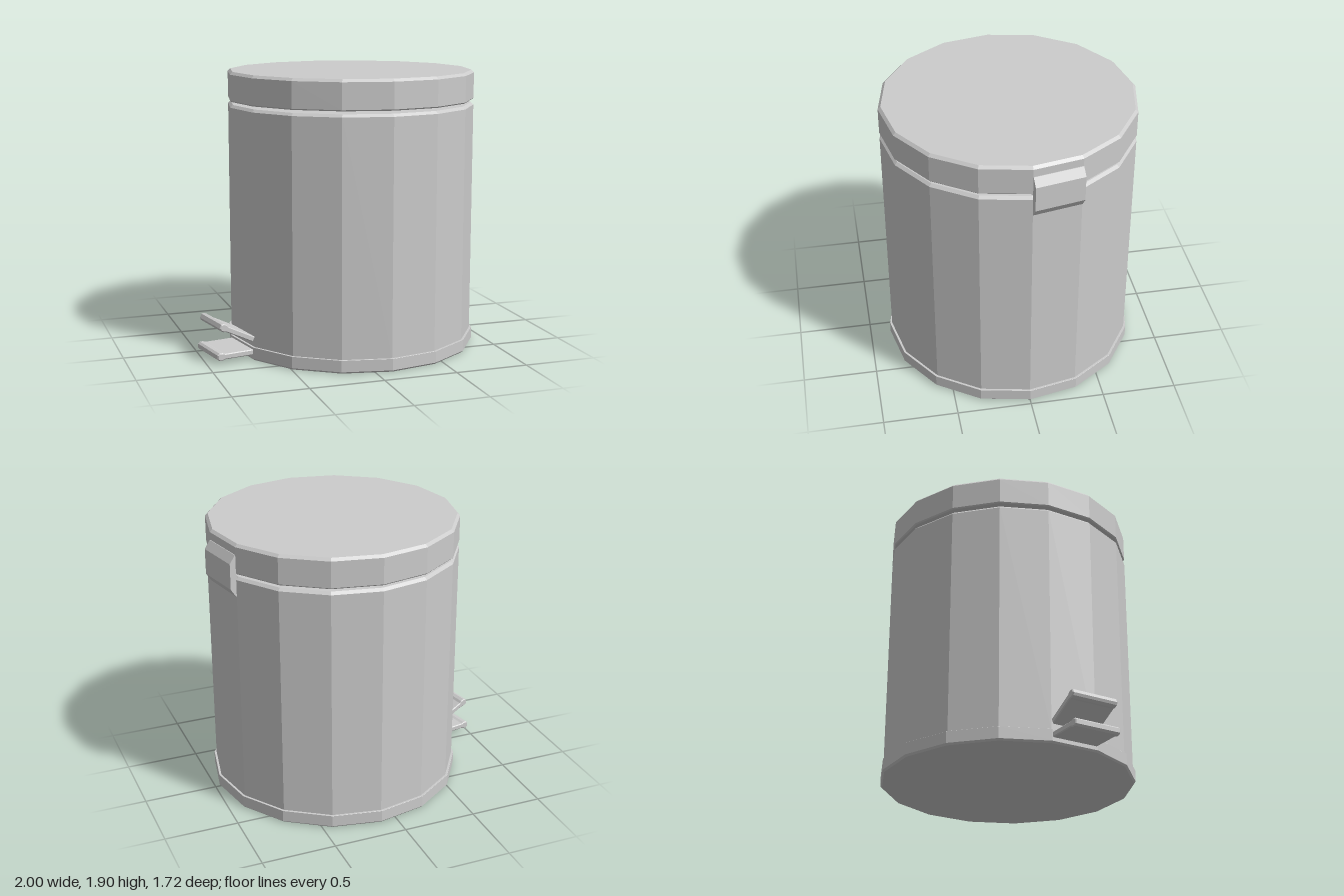
import * as THREE from 'three';

const SIDES = 16;
const RADIUS = 0.845;
const APOTHEM = RADIUS * Math.cos(Math.PI / SIDES);
const SIDE_WIDTH = 2 * RADIUS * Math.sin(Math.PI / SIDES);

const material = new THREE.MeshStandardMaterial({ color: 0xcccccc, flatShading: true });

function addMesh(parent, name, geometry) {
  const mesh = new THREE.Mesh(geometry, material);
  mesh.name = name;
  parent.add(mesh);
  return mesh;
}

// Closed 16-sided drum with chamfered bottom and top rims
function drum(radius, y0, y1, bottomBevel, topBevel) {
  const points = [
    [0, y0], [radius - bottomBevel, y0], [radius, y0 + bottomBevel],
    [radius, y1 - topBevel], [radius - topBevel, y1], [0, y1],
  ].map(([x, y]) => new THREE.Vector2(x, y));
  return new THREE.LatheGeometry(points, SIDES);
}

// Side profile extruded to the width of one wall panel, centred on z
function panelExtrude(profile, bevel) {
  const shape = new THREE.Shape(profile.map(([x, y]) => new THREE.Vector2(x, y)));
  const depth = SIDE_WIDTH - 2 * bevel;
  const geometry = new THREE.ExtrudeGeometry(shape, {
    depth,
    bevelEnabled: bevel > 0,
    bevelSegments: 1,
    bevelSize: bevel,
    bevelThickness: bevel,
    bevelOffset: -bevel,
  });
  return geometry.translate(0, 0, -depth / 2);
}

export function createModel() {
  const model = new THREE.Group();
  model.name = 'pedalBin';

  const bin = new THREE.Group();
  bin.name = 'bin';
  bin.position.x = 0.11;
  model.add(bin);

  // Base ring, bucket and lid
  addMesh(bin, 'base', drum(0.86, 0, 0.09, 0.012, 0.001));
  addMesh(bin, 'body', drum(RADIUS, 0.08, 1.68, 0.001, 0.018));
  addMesh(bin, 'lid', drum(RADIUS, 1.7, 1.9, 0.008, 0.018));

  // Fittings sit on opposite wall panels, half a panel off the x axis
  const fittings = new THREE.Group();
  fittings.name = 'fittings';
  fittings.rotation.y = Math.PI / SIDES;
  bin.add(fittings);

  // Hinge plate bridging the body and the lid
  addMesh(fittings, 'hinge', panelExtrude([
    [APOTHEM - 0.005, 1.55], [APOTHEM + 0.004, 1.55], [0.87, 1.605],
    [0.87, 1.775], [APOTHEM + 0.004, 1.83], [APOTHEM - 0.005, 1.83],
  ], 0));

  // Pedal pads: flat plates with a thicker lip at the outer end
  const pad = panelExtrude([
    [0, -0.019], [0, 0.019], [-0.215, 0.019], [-0.232, 0.026], [-0.256, 0.026],
    [-0.27, 0.014], [-0.27, -0.014], [-0.256, -0.026], [-0.232, -0.026], [-0.215, -0.019],
  ], 0.006);

  const lower = addMesh(fittings, 'lowerPedal', pad);
  lower.position.set(-0.83, 0.056, 0);

  const upper = addMesh(fittings, 'upperPedal', pad);
  upper.position.set(-0.834, 0.143, 0);
  upper.rotation.z = -THREE.MathUtils.degToRad(26.5);

  return model;
}
